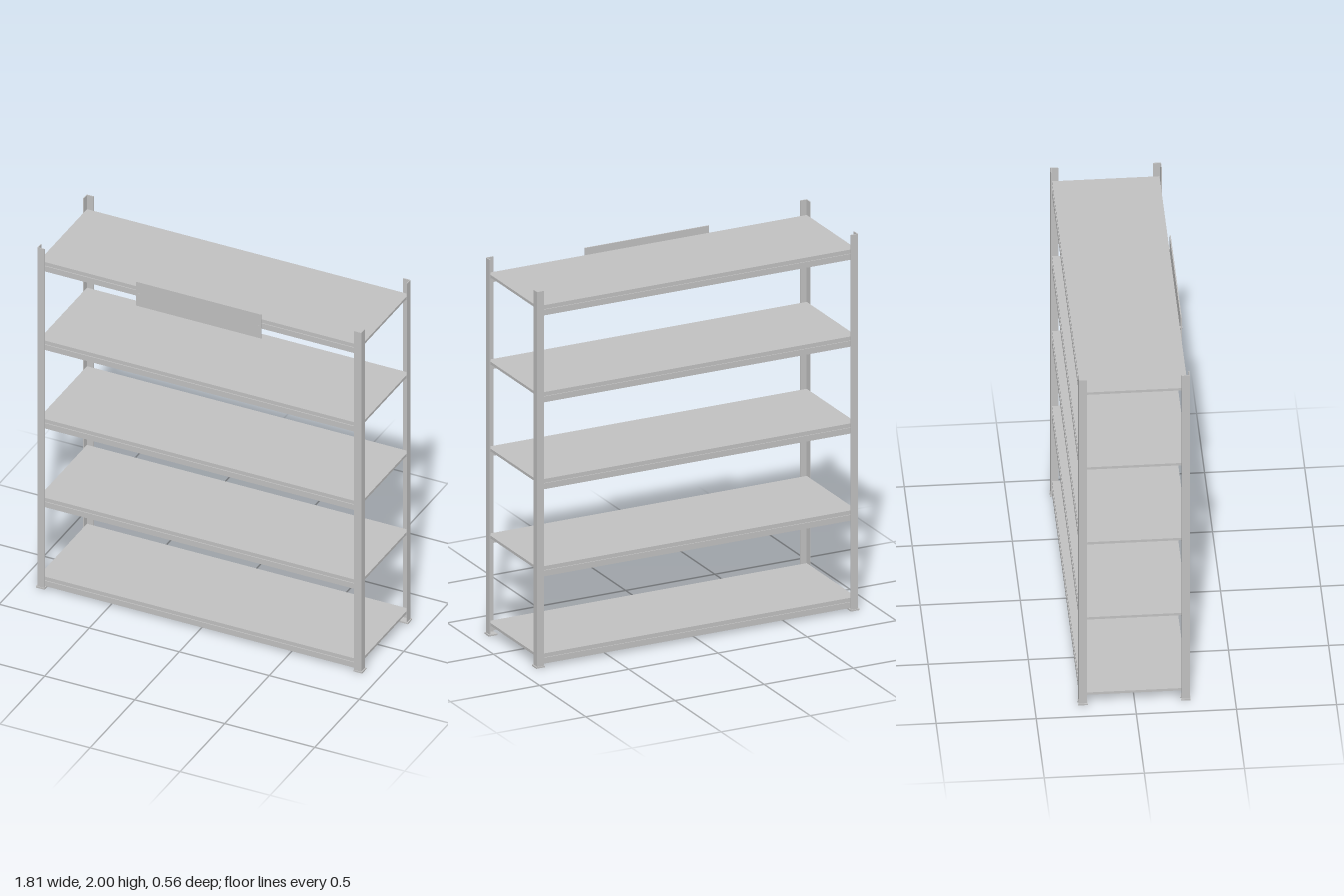
import * as THREE from 'three';

const STEEL = new THREE.MeshStandardMaterial({ color: 0xc0c0c0 });
STEEL.name = 'galvanised steel';

const Z_MID = -0.002; // frame centre; the sign on the front offsets it slightly
const X_OUT = 0.9, Z_OUT = 0.277;
const SHELF_TOPS = [0.069, 0.533, 0.996, 1.458, 1.92];

function add(parent, name, geometry, x = 0, y = 0, z = 0) {
  const mesh = new THREE.Mesh(geometry, STEEL);
  mesh.name = name;
  mesh.position.set(x, y, z);
  parent.add(mesh);
  return mesh;
}

function shapeOf(points) {
  return new THREE.Shape(points.map(([x, y]) => new THREE.Vector2(x, y)));
}

// Angle-iron post with its outer corner at (sx * X_OUT, sz * Z_OUT), plus a foot plate
function corner(sx, sz) {
  const group = new THREE.Group();
  group.name = 'cornerPost';
  const t = 0.005, w = 0.04;
  let pts = [[0, 0], [w, 0], [w, t], [t, t], [t, w], [0, w]]
    .map(([a, b]) => [sx * (X_OUT - a), -sz * (Z_OUT - b)]);
  if (sx * sz > 0) pts = pts.reverse();
  const post = new THREE.ExtrudeGeometry(shapeOf(pts), { depth: 1.996, bevelEnabled: false });
  post.rotateX(-Math.PI / 2);
  add(group, 'post', post, 0, 0.004, 0);
  add(group, 'footPlate', new THREE.BoxGeometry(0.048, 0.008, 0.048),
    sx * (X_OUT - 0.018), 0.004, sz * (Z_OUT - 0.02));
  return group;
}

// Stepped beam: face plate, small step inward, upstand, and ledge under the panel
function beam(sz) {
  const length = 1.788;
  const pts = [
    [0.271, -0.053], [0.271, -0.022], [0.266, -0.022], [0.266, -0.014],
    [0.235, -0.014], [0.235, -0.018], [0.262, -0.018], [0.262, -0.026],
    [0.267, -0.026], [0.267, -0.053],
  ];
  const geometry = new THREE.ExtrudeGeometry(shapeOf(pts), { depth: length, bevelEnabled: false });
  geometry.translate(0, 0, -length / 2);
  geometry.rotateY(sz > 0 ? -Math.PI / 2 : Math.PI / 2);
  return geometry;
}

export function createModel() {
  const model = new THREE.Group();
  model.name = 'shelvingRack';

  const frame = new THREE.Group();
  frame.name = 'frame';
  frame.position.z = Z_MID;
  model.add(frame);

  // Four uprights
  for (const sx of [-1, 1]) for (const sz of [-1, 1]) frame.add(corner(sx, sz));

  // Five shelves, each a panel on a front and a back beam
  const panel = new THREE.BoxGeometry(1.788, 0.014, 0.536);
  const beams = [beam(1), beam(-1)];
  for (const top of SHELF_TOPS) {
    const shelf = new THREE.Group();
    shelf.name = 'shelf';
    shelf.position.y = top;
    add(shelf, 'shelfPanel', panel, 0, -0.007, 0);
    add(shelf, 'frontBeam', beams[0]);
    add(shelf, 'backBeam', beams[1]);
    frame.add(shelf);
  }

  // Blank sign plate on the top front beam, held by two rivets
  const sign = new THREE.Group();
  sign.name = 'sign';
  add(sign, 'signPlate', new THREE.BoxGeometry(0.695, 0.14, 0.006), -0.002, 1.885, 0.276);
  const rivet = new THREE.CylinderGeometry(0.006, 0.006, 0.014, 12).rotateX(Math.PI / 2);
  for (const sx of [-1, 1]) add(sign, 'rivet', rivet, -0.002 + sx * 0.333, 1.885, 0.275);
  model.add(sign);

  return model;
}
